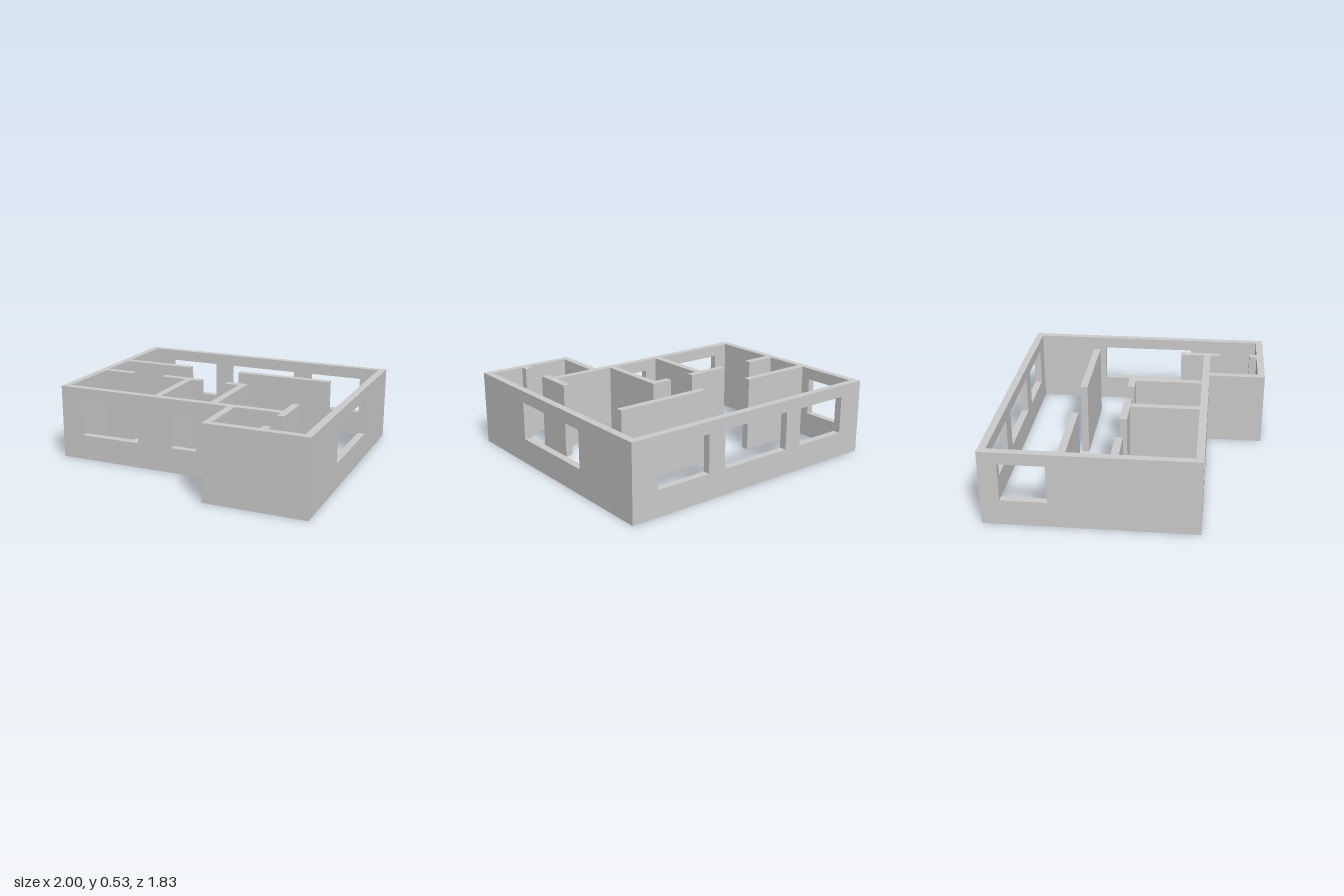
import * as THREE from 'three';

const H = 0.53;                    // wall height
const T = 0.052;                   // wall thickness
const SILL = 0.18, HEAD = 0.447;   // window opening heights

const material = new THREE.MeshStandardMaterial({ color: 0xcccccc, flatShading: true });

// Upright wall running along an axis from a to b; `at` is its lower face on the other axis.
function wall(name, axis, a, b, at, windows = []) {
  const shape = new THREE.Shape();
  shape.moveTo(a, 0).lineTo(b, 0).lineTo(b, H).lineTo(a, H).closePath();
  for (const [w0, w1] of windows) {
    const hole = new THREE.Path();
    hole.moveTo(w0, SILL).lineTo(w0, HEAD).lineTo(w1, HEAD).lineTo(w1, SILL).closePath();
    shape.holes.push(hole);
  }
  const geometry = new THREE.ExtrudeGeometry(shape, { depth: T, bevelEnabled: false });
  if (axis === 'x') geometry.translate(0, 0, at);
  else geometry.rotateY(-Math.PI / 2).translate(at + T, 0, 0);
  const mesh = new THREE.Mesh(geometry, material);
  mesh.name = name;
  return mesh;
}

export function createModel() {
  const house = new THREE.Group();
  house.name = 'floorPlan';

  // Outer walls
  const outer = new THREE.Group();
  outer.name = 'outerWalls';
  outer.add(
    wall('backWall', 'x', -1, 1, -0.917, [[-0.81, -0.405], [-0.273, 0.273], [0.405, 0.81]]),
    wall('rightWall', 'z', -0.917 + T, 0.51, -1, [[-0.79, -0.48]]),
    wall('leftWall', 'z', -0.917 + T, 0.917, 1 - T, [[-0.347, 0.347]]),
    wall('frontWall', 'x', -1 + T, 0.66, 0.51 - T, [[-0.84, -0.39], [-0.135, 0.06]]),
    wall('porchFrontWall', 'x', 0.29, 1 - T, 0.917 - T),
    wall('porchSideWall', 'z', 0.51, 0.917 - T, 0.29)
  );

  // Inner partitions with doorway gaps
  const inner = new THREE.Group();
  inner.name = 'innerWalls';
  const zBack = -0.41, zMid = -0.073, zFront = 0.51 - T;
  inner.add(
    wall('backPartitionRight', 'x', -1 + T, -0.4, zBack),
    wall('backPartitionLeft', 'x', 0.003, 0.713, zBack),
    wall('middlePartitionRight', 'x', -1 + T, -0.72, zMid),
    wall('middlePartitionCentre', 'x', -0.47, -0.153, zMid),
    wall('middlePartitionLeft', 'x', 0.042, 0.198, zMid),
    wall('roomDividerRight', 'z', zMid + T, zFront, -0.278),
    wall('roomDividerLeft', 'z', zMid + T, zFront, 0.146),
    wall('entryPartition', 'z', 0.283, 0.578, 0.66),
    wall('entryStub', 'z', 0.81, 0.917 - T, 0.66)
  );

  house.add(outer, inner);
  return house;
}
